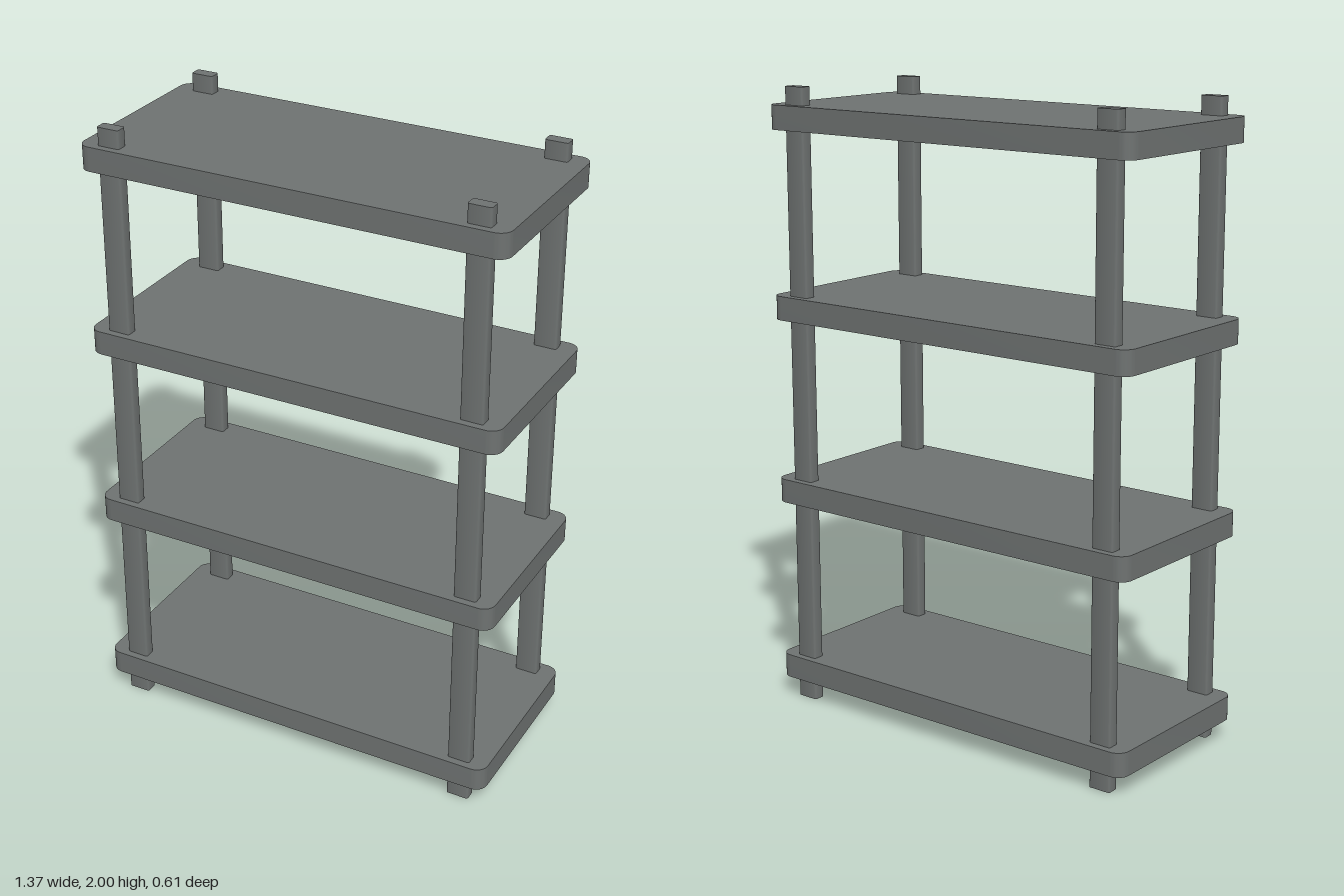
import * as THREE from 'three';
import { toCreasedNormals } from 'three/addons/utils/BufferGeometryUtils.js';

// Upright slab with rounded vertical edges, centred on x, y and z
function roundedSlab(width, height, depth, radius, segments) {
  const x = width / 2, z = depth / 2, r = radius;
  const shape = new THREE.Shape();
  shape.moveTo(-x + r, -z);
  shape.lineTo(x - r, -z);
  shape.absarc(x - r, -z + r, r, -Math.PI / 2, 0);
  shape.lineTo(x, z - r);
  shape.absarc(x - r, z - r, r, 0, Math.PI / 2);
  shape.lineTo(-x + r, z);
  shape.absarc(-x + r, z - r, r, Math.PI / 2, Math.PI);
  shape.lineTo(-x, -z + r);
  shape.absarc(-x + r, -z + r, r, Math.PI, Math.PI * 1.5);
  const geometry = new THREE.ExtrudeGeometry(shape, {
    depth: height, bevelEnabled: false, curveSegments: segments,
  });
  geometry.translate(0, 0, -height / 2);
  geometry.rotateX(-Math.PI / 2);
  return toCreasedNormals(geometry, 0.6);
}

export function createModel() {
  const group = new THREE.Group();
  group.name = 'shelvingUnit';
  const grey = new THREE.MeshStandardMaterial({ color: 0x6e7271 });
  grey.name = 'slate grey';

  // Four equal shelves
  const shelfGeometry = roundedSlab(1.37, 0.077, 0.61, 0.04, 6);
  for (let i = 0; i < 4; i++) {
    const shelf = new THREE.Mesh(shelfGeometry, grey);
    shelf.name = `shelf${i + 1}`;
    shelf.position.y = 0.104 + i * 0.6;
    group.add(shelf);
  }

  // Four flat posts running through the shelf corners
  const postGeometry = roundedSlab(0.073, 2, 0.039, 0.006, 3);
  for (const [side, x] of [['Left', 0.591], ['Right', -0.591]]) {
    for (const [end, z] of [['front', 0.262], ['back', -0.262]]) {
      const post = new THREE.Mesh(postGeometry, grey);
      post.name = `${end}${side}Post`;
      post.position.set(x, 1, z);
      group.add(post);
    }
  }
  return group;
}
